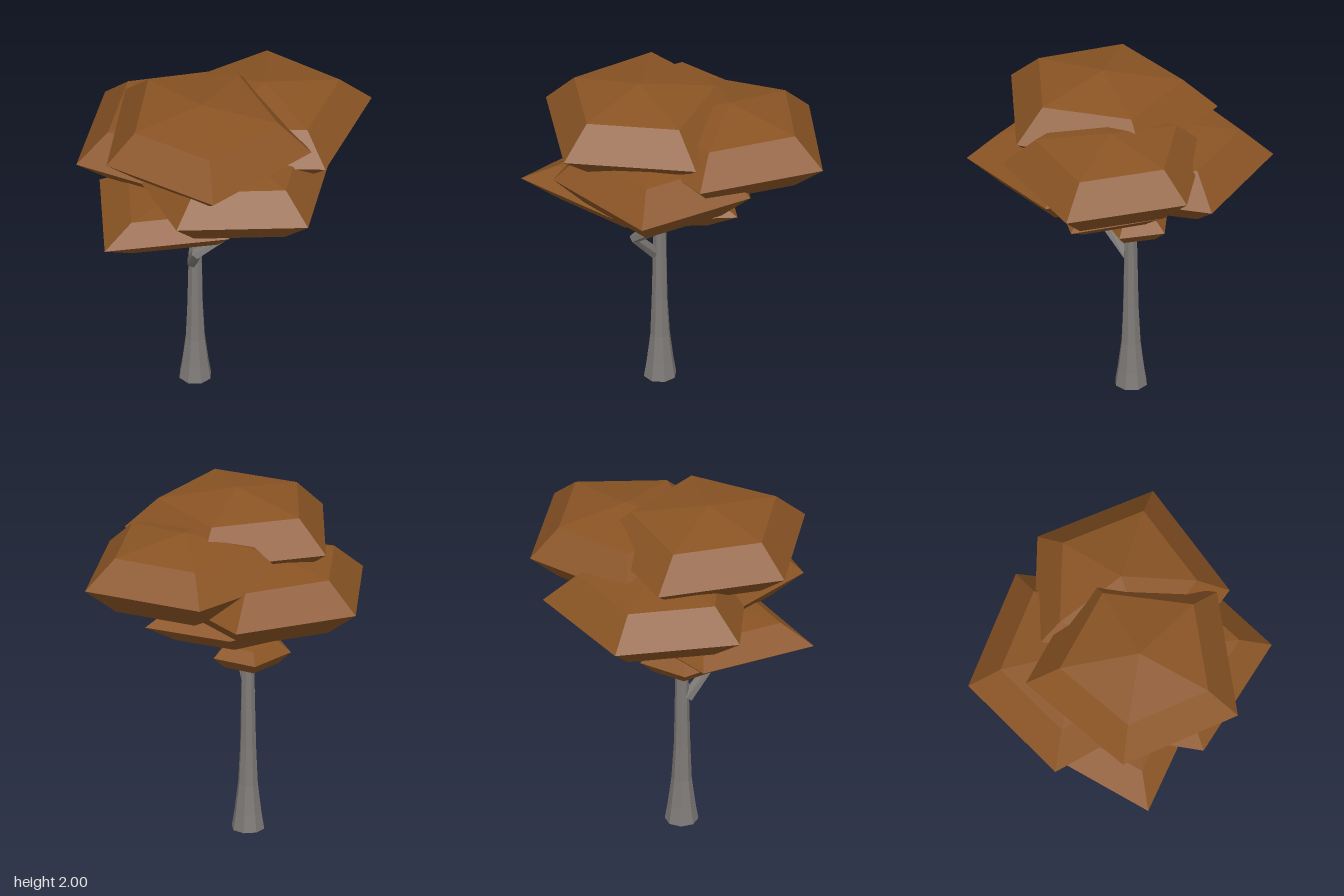
import * as THREE from 'three';

const leafMat = new THREE.MeshStandardMaterial({ name: 'brown leaves', color: 0x8a5424, flatShading: true });
const barkMat = new THREE.MeshStandardMaterial({ name: 'grey bark', color: 0x7e7a77, flatShading: true });

// Foliage clump: five-sided, with the widest ring given as [x, z] corners and
// smaller rings above and below it, closed by a top and a bottom point.
function clump({ name, center, ring, y }) {
  const [cx, cz] = center;
  const [bottom, lower, mid, upper, top] = y;
  const level = (scale, h) => ring.map(([x, z]) => [cx + (x - cx) * scale, h, cz + (z - cz) * scale]);
  const levels = [level(0, bottom), level(0.69, lower), level(1, mid), level(0.7, upper), level(0, top)];
  const pos = [];
  for (let l = 0; l < 4; l++) {
    for (let i = 0; i < ring.length; i++) {
      const j = (i + 1) % ring.length;
      const a = levels[l][i], b = levels[l][j], c = levels[l + 1][j], d = levels[l + 1][i];
      if (l < 3) pos.push(...a, ...d, ...c);
      if (l > 0) pos.push(...a, ...c, ...b);
    }
  }
  const geo = new THREE.BufferGeometry();
  geo.setAttribute('position', new THREE.Float32BufferAttribute(pos, 3));
  geo.computeVertexNormals();
  const mesh = new THREE.Mesh(geo, leafMat);
  mesh.name = name;
  return mesh;
}

// Bent limb: a cylinder whose rows are moved onto the path points.
function limb(name, path, radii, sides) {
  const n = path.length - 1;
  const geo = new THREE.CylinderGeometry(1, 1, n, sides, n);
  const points = path.map((p) => new THREE.Vector3(...p));
  const up = new THREE.Vector3(0, 1, 0);
  const turns = points.map((p, i) => {
    const dir = new THREE.Vector3();
    if (i > 0) dir.add(p.clone().sub(points[i - 1]).normalize());
    if (i < n) dir.add(points[i + 1].clone().sub(p).normalize());
    return new THREE.Quaternion().setFromUnitVectors(up, dir.normalize());
  });
  const pos = geo.attributes.position;
  const v = new THREE.Vector3();
  for (let k = 0; k < pos.count; k++) {
    v.fromBufferAttribute(pos, k);
    const row = Math.round(v.y + n / 2);
    v.setY(0).multiplyScalar(radii[row]).applyQuaternion(turns[row]).add(points[row]);
    pos.setXYZ(k, v.x, v.y, v.z);
  }
  geo.computeVertexNormals();
  const mesh = new THREE.Mesh(geo, barkMat);
  mesh.name = name;
  return mesh;
}

// Corners run from +x towards +z; y lists bottom, lower, widest, upper and top heights.
const clumps = [
  { name: 'topFoliage', center: [-0.22, 0.13], y: [1.57, 1.61, 1.755, 1.93, 2.0],
    ring: [[0.32, 0.45], [-0.37, 0.73], [-0.8, 0.17], [-0.45, -0.47], [0.25, -0.28]] },
  { name: 'leftFoliage', center: [0.24, -0.08], y: [1.45, 1.5, 1.66, 1.825, 1.9],
    ring: [[0.86, -0.04], [0.38, 0.51], [-0.29, 0.24], [-0.21, -0.48], [0.45, -0.61]] },
  { name: 'backFoliage', center: [-0.2, -0.24], y: [1.3, 1.36, 1.51, 1.68, 1.74],
    ring: [[0.34, 0.04], [-0.3, 0.36], [-0.84, -0.21], [-0.45, -0.8], [0.26, -0.69]] },
  { name: 'frontFoliage', center: [-0.06, 0.23], y: [1.3, 1.345, 1.51, 1.67, 1.73],
    ring: [[0.53, 0.2], [0.17, 0.8], [-0.53, 0.57], [-0.57, -0.1], [0.1, -0.35]] },
  { name: 'lowerFoliage', center: [-0.24, 0.07], y: [1.13, 1.17, 1.285, 1.385, 1.42],
    ring: [[0.39, 0.1], [-0.18, 0.46], [-0.87, 0.33], [-0.66, -0.32], [0.08, -0.31]] },
  { name: 'smallFoliage', center: [-0.2, -0.06], y: [0.985, 1.01, 1.08, 1.14, 1.17],
    ring: [[0.04, -0.06], [-0.15, 0.12], [-0.43, 0.05], [-0.38, -0.2], [-0.1, -0.28]] },
];

export function createModel() {
  const tree = new THREE.Group();
  tree.name = 'tree';

  // Trunk with a flared foot
  tree.add(limb('trunk',
    [[-0.19, 0, -0.048], [-0.19, 0.1, -0.048], [-0.19, 0.27, -0.048], [-0.192, 0.5, -0.046], [-0.19, 1.06, -0.046]],
    [0.094, 0.078, 0.057, 0.046, 0.035], 8));

  // Bent side branch
  tree.add(limb('branch',
    [[-0.215, 0.8, -0.03], [-0.25, 0.975, 0.13], [-0.04, 1.14, 0.2]],
    [0.034, 0.032, 0.027], 5));

  // Foliage clumps
  const foliage = new THREE.Group();
  foliage.name = 'foliage';
  clumps.forEach((c) => foliage.add(clump(c)));
  tree.add(foliage);

  return tree;
}
